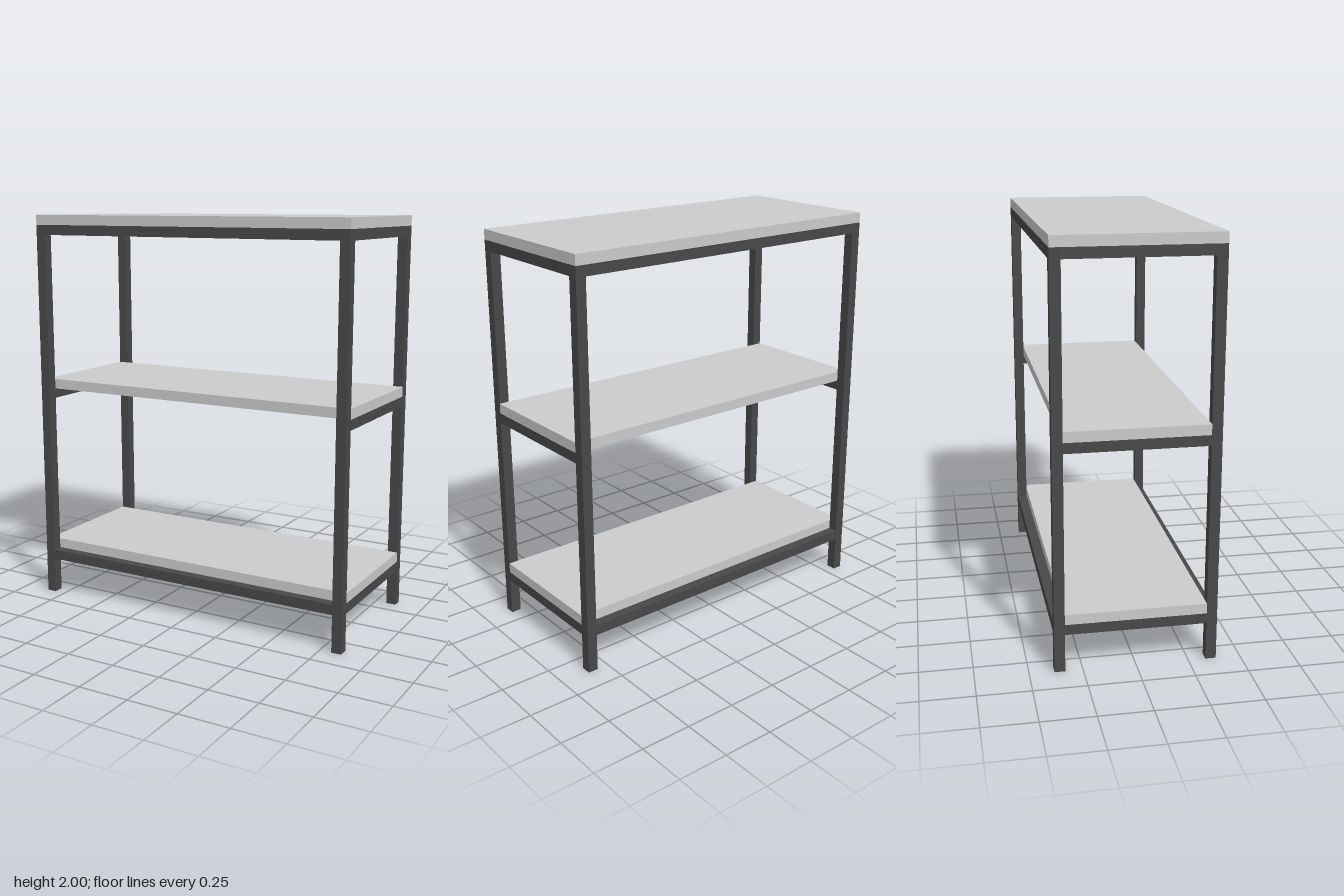
import * as THREE from 'three';

const W = 1.716, D = 0.766, T = 0.05; // overall width, depth, tube size
const X = W / 2 - T / 2, Z = D / 2 - T / 2; // leg centre lines

export function createModel() {
  const group = new THREE.Group();
  const boardMat = new THREE.MeshStandardMaterial({ color: 0xcccccc });
  const frameMat = new THREE.MeshStandardMaterial({ color: 0x484848 });

  // box placed by its bottom height
  const box = (name, mat, w, h, d, x, bottom, z) => {
    const mesh = new THREE.Mesh(new THREE.BoxGeometry(w, h, d), mat);
    mesh.name = name;
    mesh.position.set(x, bottom + h / 2, z);
    group.add(mesh);
  };

  // boards: the lower two slot between the front and back legs
  box('topBoard', boardMat, W, T, D, 0, 1.95, 0);
  box('middleShelf', boardMat, W, T, D - 2 * T, 0, 1.105, 0);
  box('bottomShelf', boardMat, W, T, D - 2 * T, 0, 0.235, 0);

  // four square legs
  for (const sx of [-1, 1]) for (const sz of [-1, 1])
    box('leg', frameMat, T, 1.95, T, sx * X, 0, sz * Z);

  for (const s of [-1, 1]) {
    // side rails under every board
    for (const y of [0.185, 1.055, 1.9])
      box('sideRail', frameMat, T, T, D - 2 * T, s * X, y, 0);
    // long rails, front and back, at the bottom and top only
    for (const y of [0.185, 1.9])
      box('longRail', frameMat, W - 2 * T, T, T, 0, y, s * Z);
  }
  return group;
}
